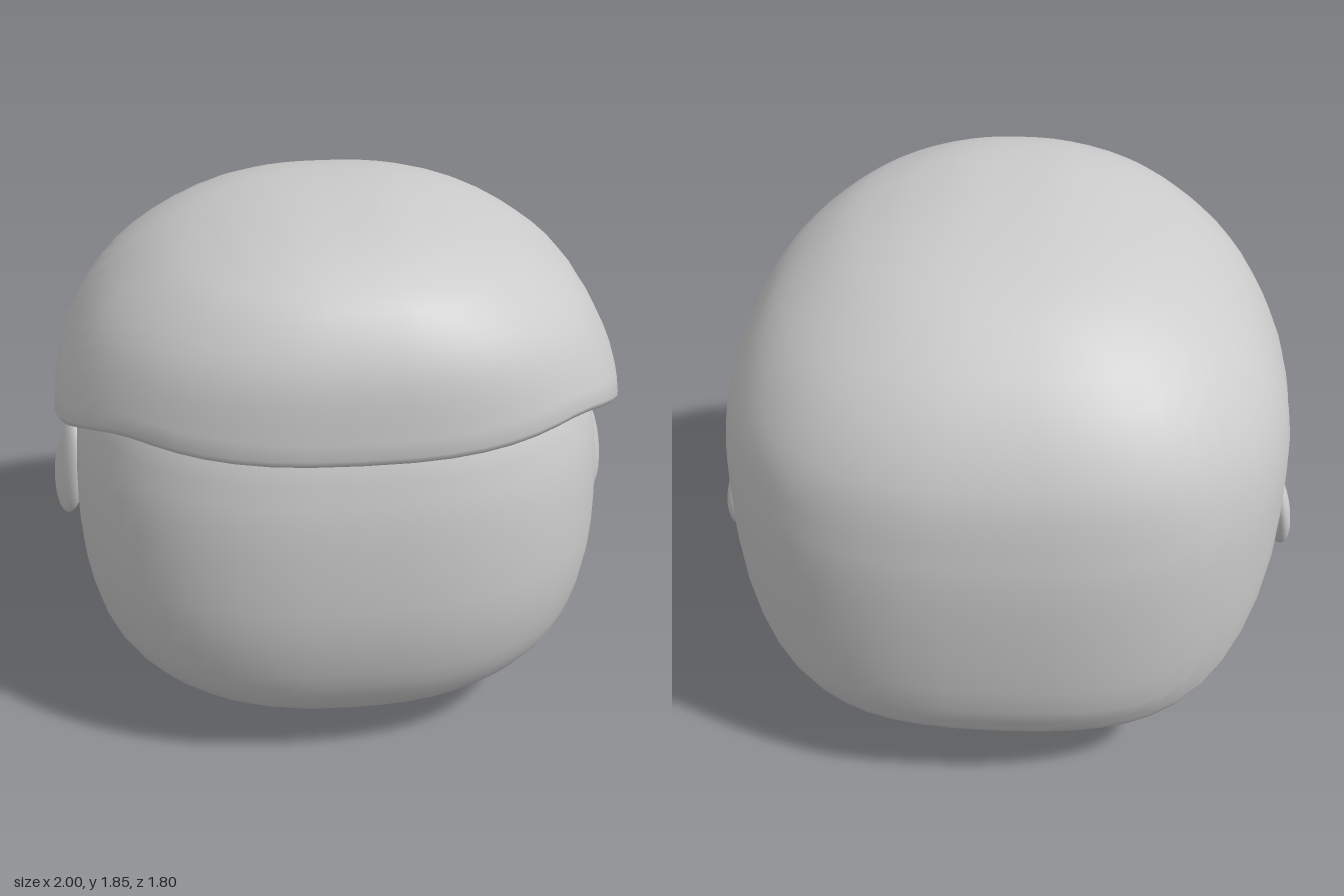
import * as THREE from 'three';

const SEG = 56;
const clay = new THREE.MeshStandardMaterial({ color: 0xcccccc });
clay.name = 'light grey';

// Smooth curve through table rows; s runs over row numbers
function sample(rows, s) {
  const last = rows.length - 1;
  const i = Math.min(Math.floor(s), last - 1), t = s - i;
  const at = (k) => rows[Math.max(0, Math.min(last, k))];
  const [a, b, c, d] = [at(i - 1), at(i), at(i + 1), at(i + 2)];
  return b.map((v, k) => v + 0.5 * t * (c[k] - a[k]
    + t * (2 * a[k] - 5 * v + 4 * c[k] - d[k] + t * (3 * (v - c[k]) + d[k] - a[k]))));
}

// Row number at which the first column reaches a value
function locate(rows, value) {
  let lo = 0, hi = rows.length - 1;
  for (let n = 0; n < 30; n++) {
    const mid = (lo + hi) / 2;
    if (sample(rows, mid)[0] < value) lo = mid; else hi = mid;
  }
  return lo;
}

const softPow = (v) => Math.sign(v) * Math.abs(v) ** 0.8;

// Point on a rounded-square section [y, halfWidth, frontZ, backZ]
function sectionPoint([y, w, front, back], angle, scale = 1, lift = 0) {
  const mid = (front + back) / 2, depth = (front - back) / 2;
  return [scale * w * softPow(Math.cos(angle)), y + lift,
    mid + scale * depth * softPow(Math.sin(angle))];
}

// Skin over rings that run from bottom to top; column(angle) lists one point per ring
function loft(name, column) {
  const pos = [], index = [];
  let rings = 0;
  for (let j = 0; j < SEG; j++) {
    const pts = column((j / SEG) * Math.PI * 2);
    rings = pts.length;
    pts.forEach((p) => pos.push(...p));
  }
  for (let j = 0; j < SEG; j++) {
    for (let i = 0; i < rings - 1; i++) {
      const a = j * rings + i, b = ((j + 1) % SEG) * rings + i;
      index.push(a, a + 1, b, b, a + 1, b + 1);
    }
  }
  const geo = new THREE.BufferGeometry();
  geo.setAttribute('position', new THREE.Float32BufferAttribute(pos, 3));
  geo.setIndex(index);
  geo.computeVertexNormals();
  const mesh = new THREE.Mesh(geo, clay);
  mesh.name = name;
  return mesh;
}

// Sections: y, half width, front z, back z
const HEAD = [
  [0, 0, 0, 0], [0.005, 0.18, 0.18, -0.15], [0.04, 0.36, 0.37, -0.34], [0.1, 0.5, 0.52, -0.47],
  [0.2, 0.68, 0.66, -0.6], [0.3, 0.79, 0.735, -0.68], [0.42, 0.855, 0.785, -0.74],
  [0.6, 0.895, 0.825, -0.79], [0.8, 0.905, 0.835, -0.81], [1.0, 0.895, 0.83, -0.81],
  [1.15, 0.86, 0.805, -0.78], [1.28, 0.8, 0.765, -0.72], [1.5, 0.62, 0.58, -0.52],
  [1.65, 0.3, 0.3, -0.25], [1.68, 0, 0, 0],
];
const HAIR = [
  [0.15, 0.82, 0.86, -0.7], [0.3, 0.88, 0.88, -0.785], [0.44, 0.92, 0.89, -0.85],
  [0.7, 0.955, 0.9, -0.885], [0.95, 0.965, 0.905, -0.9], [1.12, 0.965, 0.905, -0.89],
  [1.32, 0.925, 0.9, -0.86], [1.54, 0.8, 0.88, -0.74], [1.7, 0.61, 0.8, -0.56],
  [1.78, 0.43, 0.7, -0.4], [1.82, 0.28, 0.59, -0.2], [1.84, 0.15, 0.42, 0.02], [1.845, 0, 0.2, 0.2],
];
// Hairline: position from back (-1) to front (1), height
const HAIRLINE = [
  [-1, 0.27], [-0.87, 0.275], [-0.73, 0.39], [-0.53, 0.58], [-0.35, 0.79], [-0.17, 0.95],
  [0, 1.045], [0.33, 1.14], [0.6, 1.235], [0.77, 1.275], [1, 1.255],
];

export function createModel() {
  const group = new THREE.Group();
  group.name = 'headWithHair';

  // Head
  group.add(loft('head', (angle) => {
    const pts = [], n = (HEAD.length - 1) * 2;
    for (let i = 0; i <= n; i++) pts.push(sectionPoint(sample(HEAD, i / 2), angle));
    return pts;
  }));

  // Hair cap with a rounded rim tucked into the head
  group.add(loft('hair', (angle) => {
    const along = softPow(Math.sin(angle));
    const edge = sample(HAIRLINE, locate(HAIRLINE, along))[1];
    const start = locate(HAIR, edge + 0.035);
    const rim = sample(HAIR, start);
    const pts = [[0.84, 0.04], [0.9, -0.02], [0.95, -0.035], [0.985, -0.025]]
      .map(([scale, lift]) => sectionPoint(rim, angle, scale, lift));
    const steps = 24;
    for (let i = 0; i <= steps; i++) {
      const s = start + (HAIR.length - 1 - start) * (i / steps);
      pts.push(sectionPoint(sample(HAIR, s), angle));
    }
    return pts;
  }));

  // Ears: flattened ovals leaning out at the bottom and back
  for (const side of [1, -1]) {
    const ear = new THREE.Mesh(new THREE.SphereGeometry(1, 20, 14), clay);
    ear.name = side > 0 ? 'leftEar' : 'rightEar';
    ear.scale.set(0.045, 0.175, 0.11);
    ear.position.set(side * 0.937, 0.775, -0.08);
    ear.rotation.set(0, -0.33 * side, 0.16 * side);
    group.add(ear);
  }
  return group;
}
